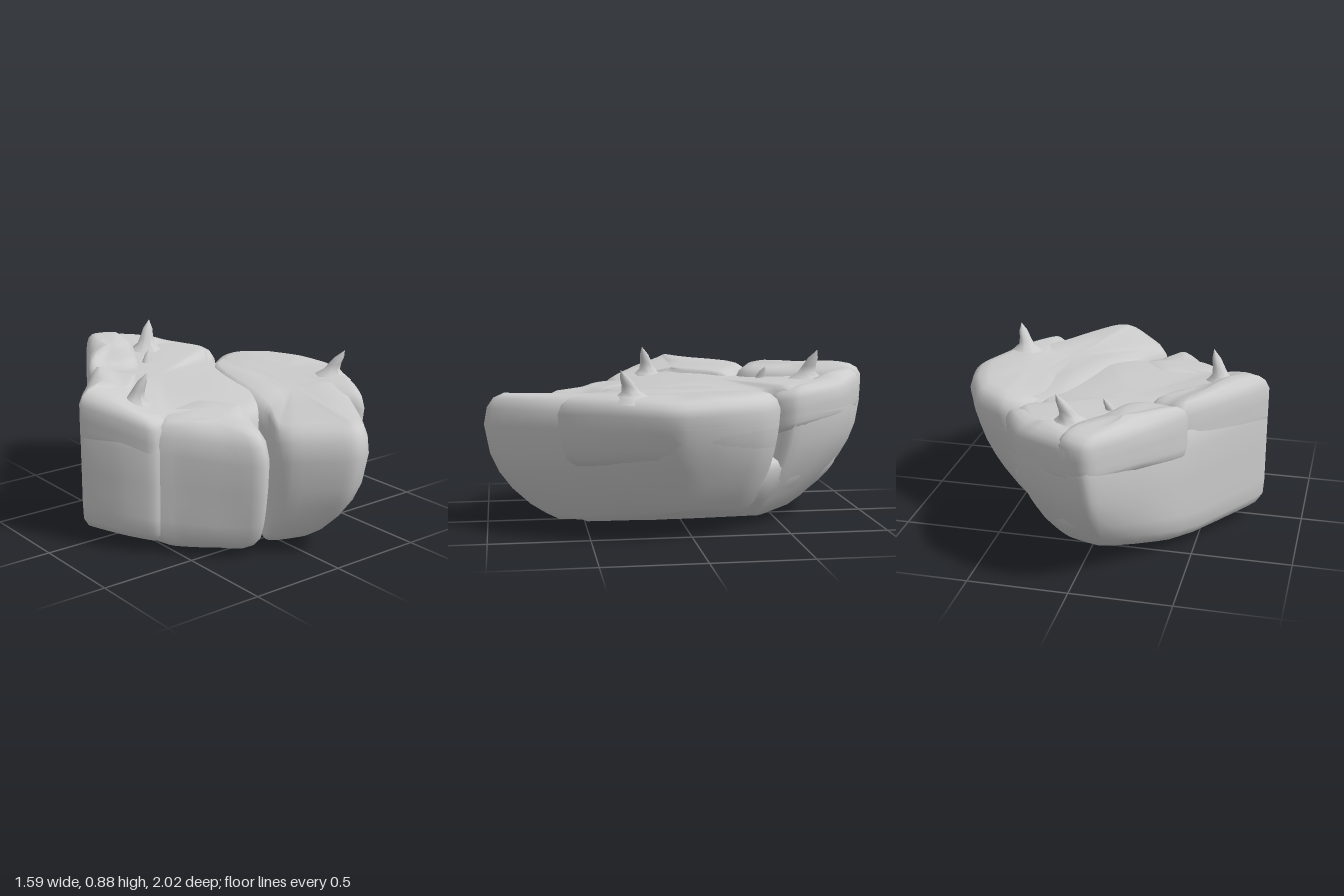
import * as THREE from 'three';

const stone = new THREE.MeshStandardMaterial({ color: 0xcccccc });
stone.name = 'grey stone';

// Underside height, rising toward the overhanging sides
const underside = (x, z) =>
  0.3 * Math.max(0, x - 0.1) + 0.1 * Math.min(0, x) ** 2 +
  0.35 * Math.max(0, -z - 0.4) + 0.12 * Math.max(0, z - 0.45);

// How far the wall is pulled in at height fraction t; rounder toward the ends
const undercut = (x, z, t) =>
  Math.max(0, 0.36 * x + 0.28 * Math.abs(z)) * Math.pow(1 - t, 1.7 + 1.7 * Math.abs(z));

// Wall profile: [height fraction, bevel inset]
const wall = [[0, 0.1], [0.035, 0.04], [0.1, 0.005], [0.22, 0], [0.35, 0], [0.5, 0], [0.74, 0], [0.88, 0.02], [0.96, 0.055], [1, 0.11]];

// A stone block lofted from a plan outline of [x, z, top height];
// lift is the height fraction at which its wall starts
function block(name, outline, lift = 0) {
  const curve = new THREE.CatmullRomCurve3(
    outline.map(([x, z, y]) => new THREE.Vector3(x, y, z)), true, 'catmullrom', 0.3);
  const n = outline.length * 4;
  const pts = Array.from({ length: n }, (_, i) => curve.getPoint(i / n));
  const mid = pts.reduce((s, p) => s.add(p), new THREE.Vector3()).divideScalar(n);
  const pos = [], index = [];

  // closing point under the block
  const floor = underside(mid.x * 0.9, mid.z * 0.9);
  pos.push(mid.x * 0.9, floor + (mid.y - floor) * lift, mid.z * 0.9);
  const addRing = (fraction, inset, shrink) => {
    const t = lift + (1 - lift) * fraction;
    for (const p of pts) {
      const dx = mid.x - p.x, dz = mid.z - p.z, d = Math.hypot(dx, dz);
      const k = Math.min(0.8, inset / d) * (1 - shrink) + shrink;
      const x = p.x + dx * k, z = p.z + dz * k;
      const s = 1 - undercut(x, z, t);
      const low = underside(x * s, z * s);
      const top = p.y + (mid.y - p.y) * shrink;
      pos.push(x * s, low + (top - low) * t, z * s);
    }
  };
  for (const [t, inset] of wall) addRing(t, inset, 0);
  addRing(1, 0.11, 0.5);
  const rings = wall.length + 1;
  const last = pos.length / 3;
  pos.push(mid.x, mid.y, mid.z);

  for (let j = 0; j < n; j++) {
    const k = (j + 1) % n;
    index.push(0, 1 + k, 1 + j);
    for (let r = 0; r < rings - 1; r++) {
      const a = 1 + r * n + j, b = 1 + r * n + k;
      index.push(a, b, a + n, b, b + n, a + n);
    }
    const e = 1 + (rings - 1) * n;
    index.push(e + j, e + k, last);
  }
  const geo = new THREE.BufferGeometry();
  geo.setAttribute('position', new THREE.Float32BufferAttribute(pos, 3));
  geo.setIndex(index);
  geo.computeVertexNormals();
  const mesh = new THREE.Mesh(geo, stone);
  mesh.name = name;
  return mesh;
}

// A leaning thorn with a flared foot
function thorn(name, base, tip, r) {
  const h = tip[1] - base[1];
  const profile = [[3.2, -0.2], [2, 0.06], [1.2, 0.22], [0.9, 0.45], [0.65, 0.72], [0, 1]]
    .map(([w, y]) => new THREE.Vector2(w * r, y * h));
  const geo = new THREE.LatheGeometry(profile, 8);
  const p = geo.attributes.position;
  for (let i = 0; i < p.count; i++) {
    const t = Math.max(0, p.getY(i) / h) ** 1.3;
    p.setX(i, p.getX(i) + (tip[0] - base[0]) * t);
    p.setZ(i, p.getZ(i) + (tip[2] - base[2]) * t);
  }
  geo.computeVertexNormals();
  const mesh = new THREE.Mesh(geo, stone);
  mesh.position.set(...base);
  mesh.name = name;
  return mesh;
}

export function createModel() {
  const group = new THREE.Group();
  group.name = 'rock';
  group.add(
    // low heart of the rock that closes the clefts near the ground
    block('lowerCore', [
      [-0.1, 0.57, 0.36], [0.08, 0.75, 0.36], [0.36, 0.55, 0.36], [0.62, 0.12, 0.38], [0.54, -0.27, 0.38],
      [0.45, -0.39, 0.38], [0.38, -0.48, 0.38], [0.3, -0.62, 0.38], [0.15, -0.78, 0.38], [-0.05, -0.85, 0.38],
      [-0.65, 0, 0.36], [-0.5, 0.33, 0.36], [-0.22, 0.6, 0.36]]),
    // two main slabs
    block('leftSlab', [
      [-0.6, 0.33, 0.69], [-0.48, 0.36, 0.68], [-0.05, 0.46, 0.68], [0.15, 0.3, 0.69], [0.38, -0.2, 0.69],
      [0.36, -0.43, 0.7], [0.425, -0.55, 0.73], [0.295, -0.79, 0.74], [0.2, -0.88, 0.74], [-0.05, -1.005, 0.74],
      [-0.14, -0.97, 0.73], [-0.45, -0.47, 0.71], [-0.77, -0.04, 0.73], [-0.79, 0.02, 0.73], [-0.7, 0.2, 0.71]]),
    block('rightSlab', [
      [-0.06, 0.5, 0.67], [-0.15, 0.7, 0.65], [-0.12, 0.8, 0.66], [0.05, 0.98, 0.68], [0.11, 1.01, 0.69],
      [0.2, 0.98, 0.69], [0.44, 0.66, 0.7], [0.61, 0.43, 0.71], [0.8, 0.12, 0.7], [0.765, -0.12, 0.71],
      [0.66, -0.33, 0.71], [0.5, -0.44, 0.71], [0.37, -0.44, 0.7], [0.2, -0.3, 0.71], [0, 0.2, 0.7]]),
    // raised shoulder of the right slab
    block('sideStone', [
      [0.41, 0.6, 0.7], [0.49, 0.65, 0.71], [0.63, 0.45, 0.72], [0.8, 0.12, 0.71], [0.765, -0.12, 0.72],
      [0.66, -0.33, 0.72], [0.5, -0.44, 0.72], [0.38, -0.44, 0.71], [0.22, -0.3, 0.7], [0.15, 0, 0.69],
      [0.22, 0.35, 0.69]], 0.4),
    block('frontCornerStone', [
      [-0.6, 0.29, 0.67], [-0.5, 0.42, 0.67], [-0.29, 0.7, 0.65], [-0.22, 0.73, 0.65], [-0.14, 0.65, 0.65],
      [-0.07, 0.5, 0.66], [0, 0.3, 0.68], [-0.2, 0.1, 0.69], [-0.5, 0.15, 0.68]]),
    // ridges along the outer edge
    block('outerRidge', [
      [-0.6, 0.33, 0.7], [-0.49, 0.31, 0.69], [-0.49, 0.1, 0.71], [-0.36, -0.12, 0.73], [-0.24, -0.32, 0.74],
      [-0.32, -0.4, 0.75], [-0.43, -0.45, 0.78], [-0.77, -0.04, 0.8], [-0.79, 0.02, 0.79], [-0.7, 0.19, 0.75]], 0.6),
    block('backRidge', [
      [-0.27, -0.36, 0.77], [-0.15, -0.41, 0.77], [0.04, -0.76, 0.78], [0.05, -0.95, 0.8], [-0.05, -1.005, 0.8],
      [-0.14, -0.97, 0.8], [-0.45, -0.48, 0.79], [-0.41, -0.4, 0.77]], 0.6),
    block('backCornerStone', [
      [0.1, -0.42, 0.69], [0.36, -0.43, 0.71], [0.425, -0.55, 0.73], [0.295, -0.79, 0.75], [0.2, -0.88, 0.77],
      [-0.05, -1, 0.78], [-0.15, -0.8, 0.71], [-0.15, -0.5, 0.69]], 0.6),
    // thorns
    thorn('outerThorn', [-0.54, 0.7, 0.09], [-0.49, 0.86, 0.13], 0.036),
    thorn('backThorn', [0.06, 0.73, -0.67], [0.12, 0.885, -0.72], 0.04),
    thorn('sideThorn', [0.57, 0.71, 0.3], [0.62, 0.845, 0.36], 0.036),
    thorn('smallThorn', [-0.09, 0.69, -0.45], [-0.05, 0.785, -0.48], 0.026));
  return group;
}
